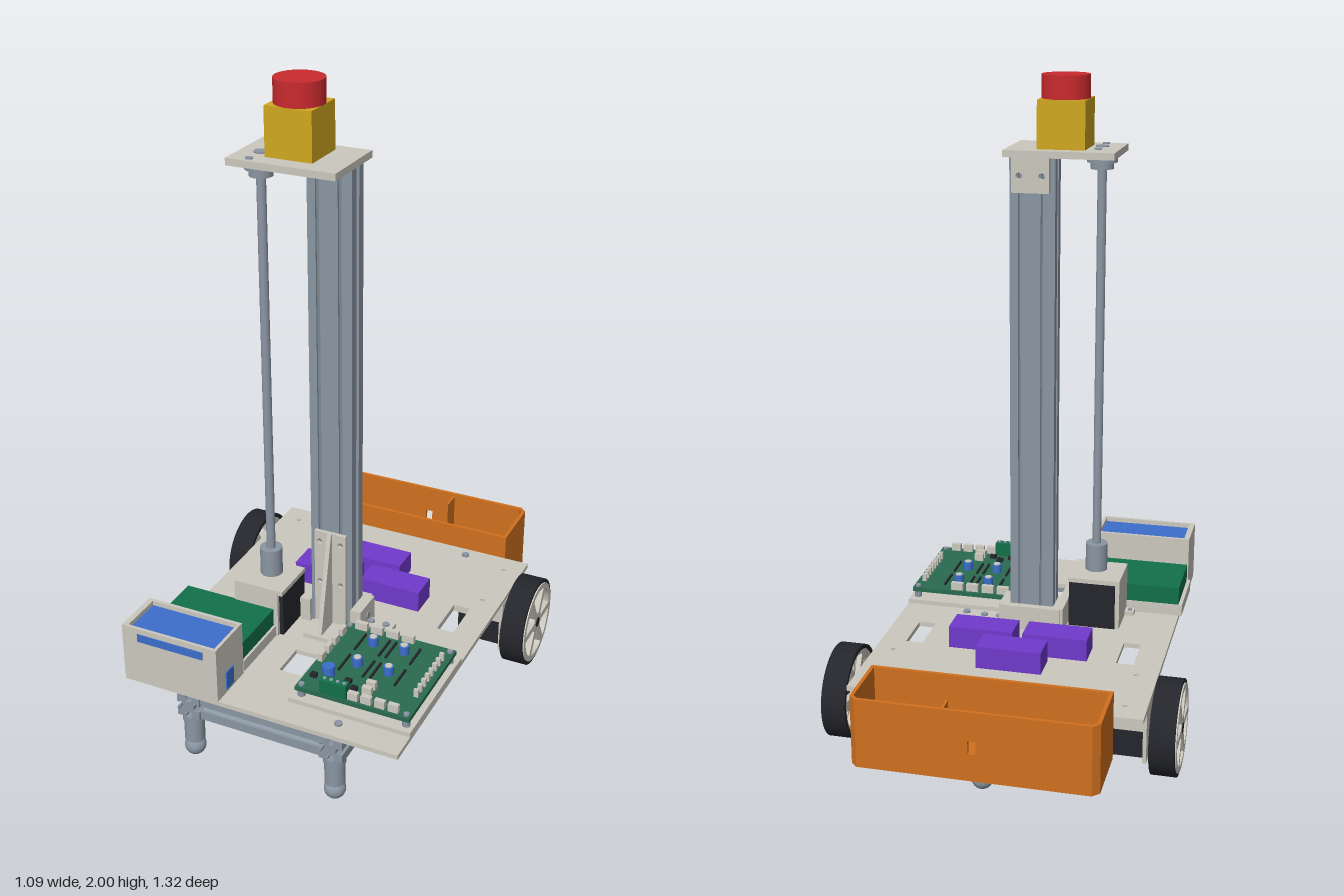
import * as THREE from 'three';

const mat = (name, color) => {
  const m = new THREE.MeshStandardMaterial({ color });
  m.name = name;
  return m;
};

export function createModel() {
  const plate = mat('warm grey', 0xcbc8be), metal = mat('steel', 0x8b96a3), black = mat('black', 0x25262c);
  const orange = mat('orange', 0xd0701f), yellow = mat('yellow', 0xd0a820), red = mat('red', 0xc92a2e);
  const blue = mat('blue', 0x3b6ecb), purple = mat('purple', 0x7039cc);
  const green = mat('green', 0x12704a), board = mat('board green', 0x2a6a50);

  const root = new THREE.Group();
  const add = (name, geo, material, parent = root) => {
    const m = new THREE.Mesh(geo, material);
    m.name = name;
    parent.add(m);
    return m;
  };
  // Box from its extents
  const box = (name, m, x0, x1, y0, y1, z0, z1, parent) => add(name,
    new THREE.BoxGeometry(x1 - x0, y1 - y0, z1 - z0)
      .translate((x0 + x1) / 2, (y0 + y1) / 2, (z0 + z1) / 2), m, parent);
  // Upright cylinder from bottom to top
  const cyl = (name, m, x, z, r, y0, y1, n = 32, parent = root) => add(name,
    new THREE.CylinderGeometry(r, r, y1 - y0, n).translate(x, (y0 + y1) / 2, z), m, parent);
  const poly = (pts) => new THREE.Shape(pts.map(([x, y]) => new THREE.Vector2(x, y)));
  const rect = (x0, x1, y0, y1) => poly([[x0, y0], [x1, y0], [x1, y1], [x0, y1]]);
  const round = (x, y, r) => new THREE.Path().absarc(x, y, r, 0, Math.PI * 2, true);
  const extrude = (shape, depth) =>
    new THREE.ExtrudeGeometry(shape, { depth, bevelEnabled: false, curveSegments: 24 });
  // Horizontal plate: shape is drawn in (x, -z)
  const slab = (name, m, shape, y0, y1) =>
    add(name, extrude(shape, y1 - y0).rotateX(-Math.PI / 2).translate(0, y0, 0), m);

  // Slotted aluminium section, extruded along z and centred
  const slotted = (w, h, cells, length) => {
    const pts = [];
    const side = (a, d, n, len, k) => {
      const at = (s, t) => pts.push([a[0] + d[0] * s + n[0] * t, a[1] + d[1] * s + n[1] * t]);
      at(0, 0);
      for (let i = 0; i < k; i++) {
        const c = len * (i + 0.5) / k;
        [[-0.009, 0], [-0.009, 0.007], [-0.016, 0.007], [-0.007, 0.02],
          [0.007, 0.02], [0.016, 0.007], [0.009, 0.007], [0.009, 0]].forEach(([s, t]) => at(c + s, t));
      }
    };
    side([-w / 2, -h / 2], [1, 0], [0, 1], w, cells);
    side([w / 2, -h / 2], [0, 1], [-1, 0], h, 1);
    side([w / 2, h / 2], [-1, 0], [0, -1], w, cells);
    side([-w / 2, h / 2], [0, -1], [1, 0], h, 1);
    return extrude(poly(pts), length).translate(0, 0, -length / 2);
  };

  // Deck with slots and screw holes
  const deck = rect(-0.45, 0.445, -0.65, 0.45);
  deck.holes.push(rect(-0.365, -0.31, -0.03, 0.115), rect(0.31, 0.365, -0.03, 0.115),
    rect(-0.04, 0.035, -0.435, -0.32));
  for (const x of [-0.385, 0.385]) for (const z of [-0.38, -0.18]) deck.holes.push(round(x, -z, 0.007));
  slab('deck', plate, deck, 0.235, 0.25);
  for (const [x, z] of [[-0.235, -0.41], [0.235, -0.41], [0.235, 0.14], [0.235, 0.595]])
    cyl('deckScrew', metal, x, z, 0.012, 0.25, 0.257, 16);

  // Frame rails
  for (const x of [-0.235, 0.235])
    add('sideRail', slotted(0.075, 0.075, 1, 1.09).translate(x, 0.197, 0.105), metal);
  for (const z of [-0.405, 0.12, 0.605])
    add('crossRail', slotted(0.075, 0.075, 1, 0.395).rotateY(Math.PI / 2).translate(0, 0.197, z), metal);

  // Ball casters
  const caster = (x, z, y, top, wide) => {
    const g = new THREE.Group();
    g.name = 'caster';
    root.add(g);
    add('ball', new THREE.SphereGeometry(0.033, 24, 16).translate(x, y, z), metal, g);
    cyl('stem', metal, x, z, wide ? 0.024 : 0.031, y + (wide ? 0.01 : 0.025), top, 24, g);
    cyl('flange', metal, x, z, wide ? 0.045 : 0.034, top - 0.022, top, 24, g);
  };
  caster(-0.235, 0.62, 0.04, 0.16, false);
  caster(0.235, 0.62, 0.04, 0.16, false);
  caster(0, -0.55, 0.062, 0.116, true);

  // Drive wheels and motors, built on +x and turned for the other side
  const wheelShape = new THREE.Shape().absarc(0, 0, 0.133, 0, Math.PI * 2);
  for (let i = 0; i < 6; i++) {
    const a = i * Math.PI / 3, p = new THREE.Path();
    p.absarc(0, 0, 0.115, a + 0.1, a + Math.PI / 3 - 0.1);
    p.absarc(0, 0, 0.035, a + Math.PI / 3 - 0.3, a + 0.3, true);
    p.closePath();
    wheelShape.holes.push(p);
  }
  const ring = (r0, r1, x0, x1) => {
    const s = new THREE.Shape().absarc(0, 0, r1, 0, Math.PI * 2);
    s.holes.push(round(0, 0, r0));
    return new THREE.ExtrudeGeometry(s, { depth: x1 - x0, bevelEnabled: false, curveSegments: 40 })
      .rotateY(Math.PI / 2).translate(x0, 0, 0);
  };
  for (const side of [1, -1]) {
    const g = new THREE.Group();
    g.name = side > 0 ? 'leftDrive' : 'rightDrive';
    g.position.set(0, 0.147, -0.282);
    g.rotation.y = side > 0 ? 0 : Math.PI;
    root.add(g);
    add('tyre', ring(0.132, 0.145, 0.462, 0.538), black, g);
    add('rim', ring(0.122, 0.132, 0.465, 0.542), plate, g);
    add('spokes', extrude(wheelShape, 0.02).rotateY(Math.PI / 2).translate(0.522, 0, 0), plate, g);
    add('innerSpokes', extrude(wheelShape, 0.015).rotateY(Math.PI / 2).translate(0.47, 0, 0), plate, g);
    add('axle', new THREE.CylinderGeometry(0.016, 0.016, 0.11, 20).rotateZ(Math.PI / 2)
      .translate(0.489, 0, 0), black, g);
    box('motor', black, 0.29, 0.436, -0.075, 0.01, -0.07, 0.07, g);
    box('motorMount', plate, 0.274, 0.436, 0.01, 0.088, -0.07, 0.07, g);
    box('motorPlate', plate, 0.436, 0.447, -0.088, 0.088, -0.08, 0.08, g);
  }

  // Open rear tray with cut corners
  slab('trayFloor', orange, poly([[-0.363, 0.45], [0.363, 0.45], [0.363, 0.645], [0.343, 0.665],
    [-0.343, 0.665], [-0.363, 0.645]]), 0.115, 0.127);
  slab('trayWalls', orange, poly([[-0.343, 0.665], [-0.363, 0.645], [-0.363, 0.45], [0.363, 0.45],
    [0.363, 0.645], [0.343, 0.665], [0.338, 0.654], [0.352, 0.64], [0.352, 0.461], [-0.352, 0.461],
    [-0.352, 0.64], [-0.338, 0.654]]), 0.127, 0.33);
  const back = rect(-0.343, 0.343, 0.127, 0.33);
  back.holes.push(rect(-0.012, 0.012, 0.2, 0.24));
  add('trayBack', extrude(back, 0.011).translate(0, 0, -0.665), orange);
  box('trayDivider', orange, 0.088, 0.096, 0.127, 0.32, -0.655, -0.59);
  cyl('casterPad', orange, 0, -0.555, 0.055, 0.127, 0.133);
  for (const x of [-0.035, 0.035]) cyl('padScrew', metal, x, -0.555, 0.007, 0.133, 0.137, 12);

  // Column with foot brackets and gusset
  add('column', slotted(0.14, 0.075, 2, 1.515).rotateX(-Math.PI / 2).translate(0, 1.0075, 0.112), metal);
  const gussetPlate = rect(-0.053, 0.053, 0.25, 0.59);
  for (const x of [-0.035, 0.035]) for (const y of [0.41, 0.555]) gussetPlate.holes.push(round(x, y, 0.009));
  add('gussetPlate', extrude(gussetPlate, 0.012).translate(0, 0, 0.15), plate);
  add('gussetRib', extrude(poly([[0.16, 0.25], [0.245, 0.25], [0.168, 0.59], [0.16, 0.59]]), 0.014)
    .rotateY(-Math.PI / 2).translate(0.007, 0, 0), plate);
  box('gussetFoot', plate, -0.053, 0.053, 0.25, 0.264, 0.15, 0.25);
  box('backBracket', plate, -0.095, 0.095, 0.25, 0.33, 0.05, 0.074);
  for (const s of [-1, 1])
    box('sideBracket', plate, s * 0.0875 - 0.0175, s * 0.0875 + 0.0175, 0.25, 0.33, 0.058, 0.165);
  add('bracketScrew', new THREE.CylinderGeometry(0.011, 0.011, 0.006, 16).rotateZ(Math.PI / 2)
    .translate(0.106, 0.29, 0.11), metal);
  box('bracketFoot', plate, 0.09, 0.19, 0.25, 0.264, 0.08, 0.122);
  for (const x of [0.115, 0.165]) cyl('footScrew', metal, x, 0.102, 0.011, 0.264, 0.27, 16);

  // Top plate and emergency button
  slab('topPlate', plate, rect(-0.25, 0.085, -0.285, -0.05), 1.765, 1.786);
  const tab = rect(-0.055, 0.06, 1.66, 1.765);
  for (const x of [-0.033, 0.037]) tab.holes.push(round(x, 1.71, 0.01));
  add('topTab', extrude(tab, 0.018).translate(0, 0, 0.056), plate);
  box('buttonHousing', yellow, -0.155, -0.01, 1.786, 1.93, 0.088, 0.232);
  cyl('button', red, -0.082, 0.16, 0.073, 1.93, 2, 40);
  for (const [z, r] of [[0.125, 0.011], [0.195, 0.02], [0.262, 0.011]])
    cyl('plateScrew', metal, -0.187, z, r, 1.786, 1.79, 20);

  // Lead screw, coupling and stepper motor
  cyl('leadScrew', metal, -0.187, 0.197, 0.014, 0.43, 1.765, 20);
  cyl('bearing', metal, -0.187, 0.197, 0.035, 1.72, 1.74);
  cyl('bearingFlange', metal, -0.187, 0.197, 0.046, 1.74, 1.765);
  cyl('coupling', metal, -0.187, 0.197, 0.035, 0.425, 0.515);
  box('stepperMotor', black, -0.262, -0.112, 0.25, 0.4, 0.12, 0.268);
  box('stepperTop', plate, -0.276, -0.108, 0.4, 0.415, 0.122, 0.28);
  box('stepperFront', plate, -0.276, -0.125, 0.25, 0.4, 0.268, 0.28);
  box('stepperSide', plate, -0.276, -0.262, 0.25, 0.4, 0.125, 0.268);
  box('stepperFoot', plate, -0.306, -0.276, 0.25, 0.264, 0.235, 0.268);
  cyl('stepperFootScrew', metal, -0.292, 0.251, 0.007, 0.264, 0.268, 12);

  // Battery packs
  for (const [x, z] of [[0, -0.197], [-0.118, -0.077], [0.118, -0.077]])
    box('powerModule', purple, x - 0.102, x + 0.102, 0.25, 0.32, z - 0.048, z + 0.048);

  // Computer on its tray
  box('computerTray', plate, -0.46, -0.132, 0.25, 0.287, 0.272, 0.488);
  box('computer', green, -0.448, -0.14, 0.287, 0.345, 0.276, 0.48);

  // Display case with open top and front window
  const caseRing = rect(-0.45, -0.13, -0.652, -0.495);
  caseRing.holes.push(rect(-0.432, -0.14, -0.642, -0.506));
  slab('displayCase', plate, caseRing, 0.25, 0.43);
  box('displayScreen', blue, -0.432, -0.14, 0.37, 0.415, 0.506, 0.642);
  box('displayWindow', blue, -0.397, -0.175, 0.386, 0.412, 0.65, 0.655);
  box('displaySocket', blue, -0.132, -0.126, 0.262, 0.322, 0.56, 0.602);

  // Control board with connectors, capacitors and terminals
  box('boardBase', plate, 0.055, 0.445, 0.25, 0.264, 0.165, 0.562);
  box('controlBoard', board, 0.07, 0.435, 0.286, 0.3, 0.183, 0.547);
  for (const x of [0.085, 0.42]) for (const z of [0.198, 0.532]) {
    cyl('standoff', metal, x, z, 0.012, 0.264, 0.286, 12);
    cyl('boardScrew', metal, x, z, 0.009, 0.3, 0.306, 12);
  }
  const plug = (x, z, w, d) => box('connector', plate, x - w / 2, x + w / 2, 0.3, 0.325, z - d / 2, z + d / 2);
  [0.127, 0.179, 0.232, 0.284].forEach((x) => plug(x, 0.2, 0.04, 0.016));
  [0.252, 0.294, 0.337, 0.38].forEach((x) => plug(x, 0.531, 0.032, 0.016));
  [0.248, 0.298, 0.345, 0.392].forEach((z) => plug(0.083, z, 0.016, 0.03));
  [0.46, 0.49].forEach((z) => plug(0.278, z, 0.03, 0.016));
  for (let i = 0; i < 8; i++) plug(0.412, 0.245 + i * 0.028, 0.014, 0.01);
  for (const x of [0.193, 0.295]) for (const z of [0.26, 0.375]) {
    cyl('capacitor', blue, x, z, 0.016, 0.3, 0.328, 20);
    cyl('capacitorTop', plate, x, z, 0.011, 0.328, 0.331, 20);
    for (const s of [-0.04, 0.04]) box('pinStrip', black, x + s - 0.003, x + s + 0.003, 0.3, 0.306, z - 0.035, z + 0.05);
  }
  cyl('largeCapacitor', blue, 0.137, 0.457, 0.019, 0.3, 0.335, 20);
  for (let i = 0; i < 4; i++) {
    const x = 0.16 + i * 0.021;
    box('terminal', green, x - 0.0105, x + 0.0105, 0.3, 0.345, 0.515, 0.545);
    cyl('terminalScrew', metal, x, 0.53, 0.006, 0.345, 0.348, 10);
  }
  for (const [x, z] of [[0.1, 0.48], [0.17, 0.49], [0.205, 0.465], [0.235, 0.49]])
    box('chip', black, x - 0.01, x + 0.01, 0.3, 0.312, z - 0.008, z + 0.008);

  return root;
}
